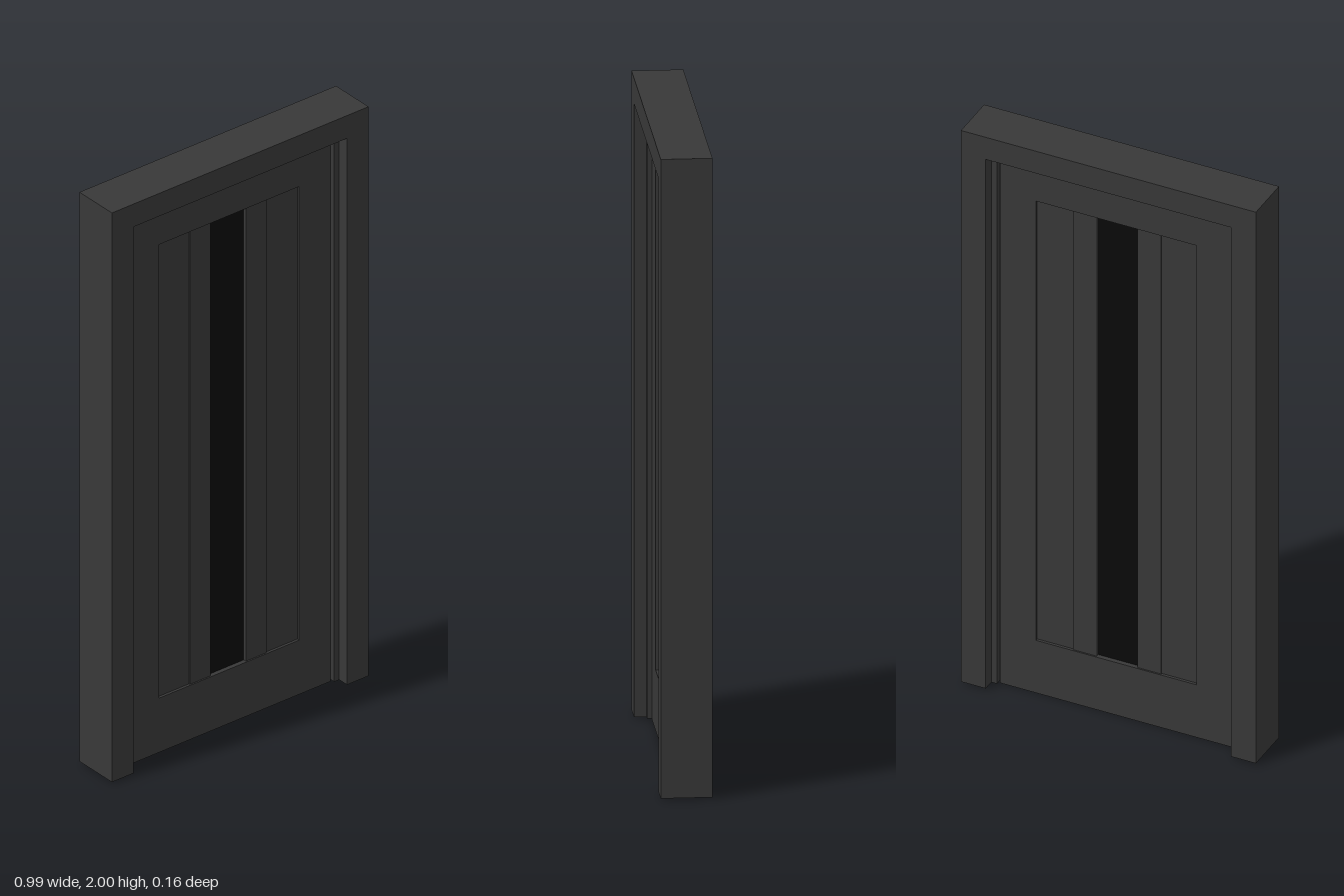
import * as THREE from 'three';

const dark = new THREE.MeshStandardMaterial({ color: 0x383838 });
const black = new THREE.MeshStandardMaterial({ color: 0x0a0a0a });

// Box given by its limits on x and y, centred on z = 0
function slab(name, x0, x1, y0, y1, depth, material = dark) {
  const mesh = new THREE.Mesh(new THREE.BoxGeometry(x1 - x0, y1 - y0, depth), material);
  mesh.position.set((x0 + x1) / 2, (y0 + y1) / 2, 0);
  mesh.name = name;
  return mesh;
}

// Upside-down U, open at the floor
function surround(name, outerX, outerY, innerX, innerY, base, depth) {
  const shape = new THREE.Shape([
    [-outerX, base], [-innerX, base], [-innerX, innerY], [innerX, innerY],
    [innerX, base], [outerX, base], [outerX, outerY], [-outerX, outerY],
  ].map(([x, y]) => new THREE.Vector2(x, y)));
  const geometry = new THREE.ExtrudeGeometry(shape, { depth, bevelEnabled: false });
  geometry.translate(0, 0, -depth / 2);
  const mesh = new THREE.Mesh(geometry, dark);
  mesh.name = name;
  return mesh;
}

export function createModel() {
  const model = new THREE.Group();
  model.name = 'door';

  // Fixed frame with a stepped inner rebate
  const frame = new THREE.Group();
  frame.name = 'frame';
  frame.add(surround('casing', 0.495, 2, 0.412, 1.92, 0.005, 0.156));
  frame.add(surround('stop', 0.412, 1.92, 0.393, 1.902, 0.005, 0.08));
  model.add(frame);

  // Door leaf
  const leaf = new THREE.Group();
  leaf.name = 'leaf';
  const thick = 0.05;
  leaf.add(slab('topRail', -0.27, 0.27, 1.78, 1.9, thick));
  leaf.add(slab('bottomRail', -0.27, 0.27, 0, 0.19, thick));
  for (const [side, s] of [['left', 1], ['right', -1]]) {
    const strip = (name, a, b, y0, y1, depth) =>
      leaf.add(slab(side + name, Math.min(s * a, s * b), Math.max(s * a, s * b), y0, y1, depth));
    strip('Stile', 0.27, 0.391, 0, 1.9, thick);
    strip('Panel', 0.148, 0.27, 0.19, 1.78, 0.032);
    strip('GlazingBar', 0.068, 0.148, 0.19, 1.78, 0.04);
  }
  leaf.add(slab('glass', -0.068, 0.068, 0.19, 1.78, 0.02, black));
  model.add(leaf);

  return model;
}
